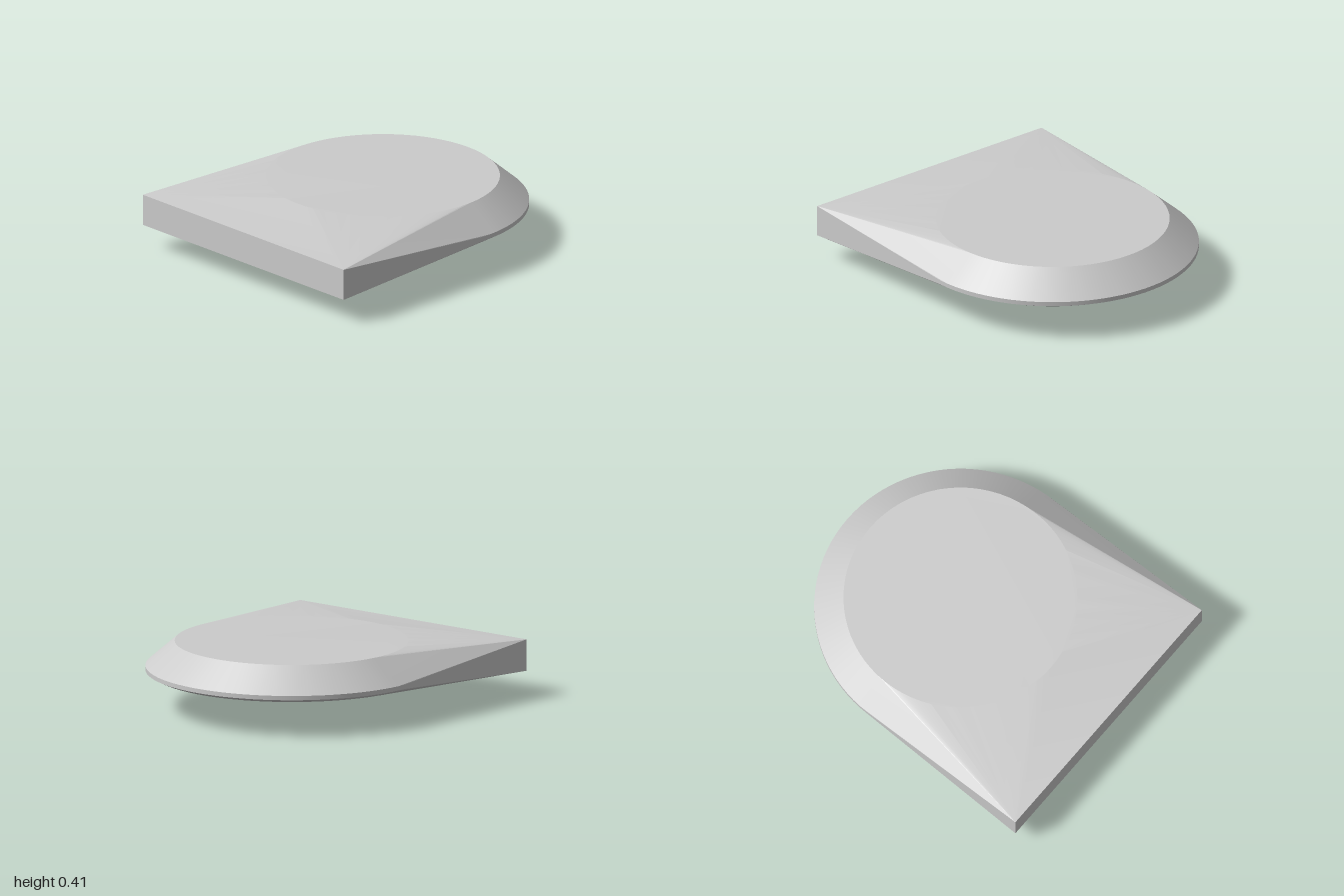
import * as THREE from 'three';
import { ConvexGeometry } from 'three/addons/geometries/ConvexGeometry.js';
import { toCreasedNormals } from 'three/addons/utils/BufferGeometryUtils.js';

const CENTRE_Z = -0.135;

// Points on a horizontal arc; angle 0 is +x and PI / 2 is the back (-z)
function arc(radius, y, z, sweep, steps) {
  const points = [];
  for (let i = 0; i <= steps; i++) {
    const a = (sweep * i) / steps;
    points.push(new THREE.Vector3(radius * Math.cos(a), y, z - radius * Math.sin(a)));
  }
  return points;
}

export function createModel() {
  const group = new THREE.Group();
  group.name = 'wedgeHull';
  const fullTurn = (steps) => (2 * Math.PI * (steps - 1)) / steps;

  const points = [
    // flat round deck
    ...arc(0.692, 0.406, CENTRE_Z, fullTurn(72), 71),
    // thin rim around the back, with a small chamfer below
    ...arc(0.865, 0.256, CENTRE_Z, Math.PI, 48),
    ...arc(0.865, 0.23, CENTRE_Z, Math.PI, 48),
    ...arc(0.825, 0.211, CENTRE_Z, Math.PI, 48),
    // blunt tip underneath
    ...arc(0.03, 0, 0.21, fullTurn(12), 11),
  ];

  // square front corners
  for (const x of [-0.865, 0.865]) {
    for (const y of [0.15, 0.34]) points.push(new THREE.Vector3(x, y, 1));
  }

  const body = new THREE.Mesh(
    toCreasedNormals(new ConvexGeometry(points), 0.12),
    new THREE.MeshStandardMaterial({ color: 0xcccccc })
  );
  body.name = 'body';
  group.add(body);
  return group;
}
